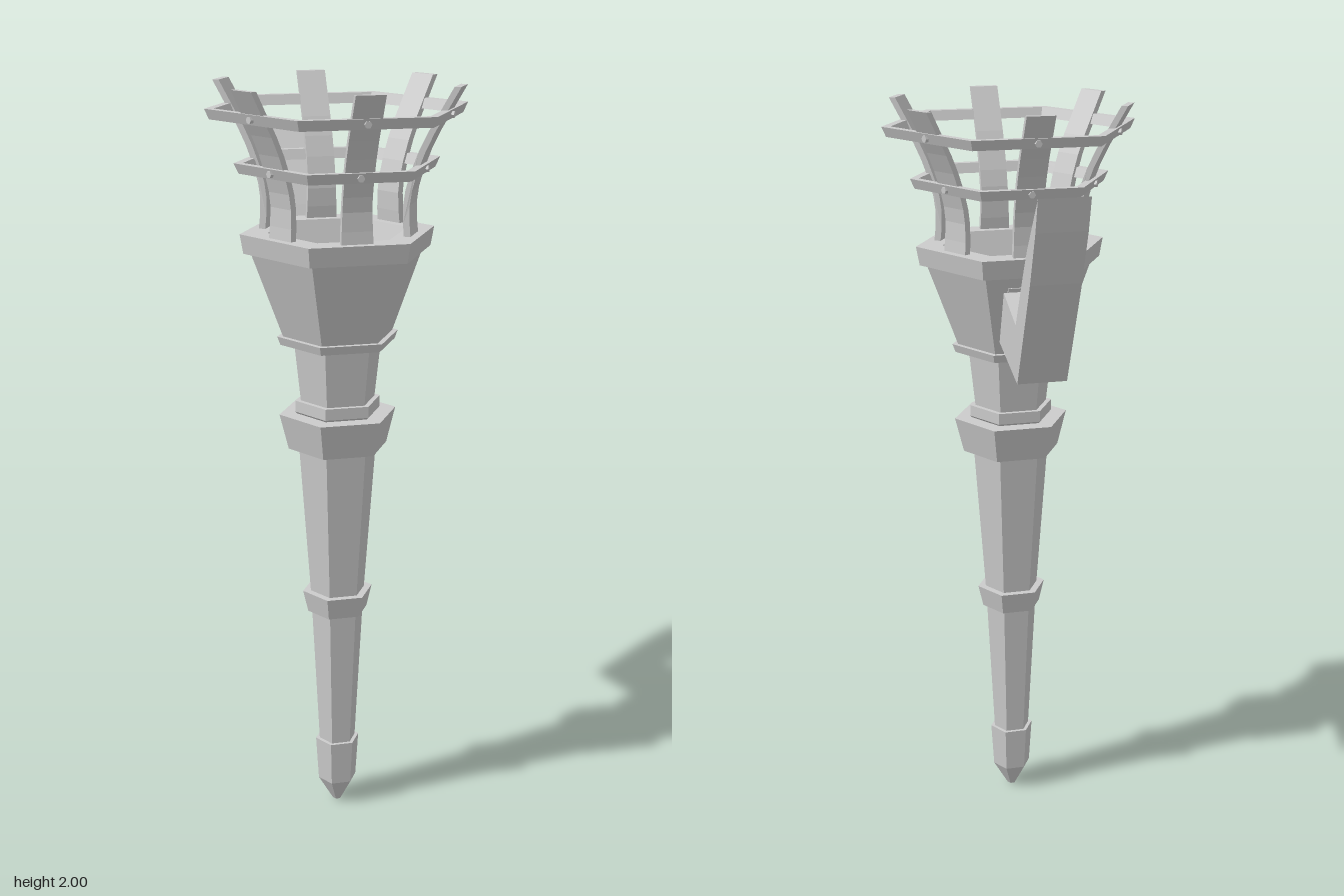
import * as THREE from 'three';

const AXIS_Z = 0.108; // the torch axis sits forward of the wall bracket
const material = new THREE.MeshStandardMaterial({ color: 0xcccccc, flatShading: true });

function addMesh(parent, name, geometry) {
  const mesh = new THREE.Mesh(geometry, material);
  mesh.name = name;
  parent.add(mesh);
  return mesh;
}

// Six-sided turned part with corners on +x and -x; points are [corner radius, y]
function hexLathe(points) {
  return new THREE.LatheGeometry(points.map(p => new THREE.Vector2(...p)), 6, Math.PI / 2);
}

// Extrudes an outline of [x, y] points, centred on z
function slab(points, width) {
  const shape = new THREE.Shape(points.map(p => new THREE.Vector2(...p)));
  return new THREE.ExtrudeGeometry(shape, { depth: width, bevelEnabled: false }).translate(0, 0, -width / 2);
}

// Curved strap: outline in (radius, y), slightly wider at its foot
function strapGeometry() {
  const inner = new THREE.SplineCurve([
    [0.183, 1.62], [0.178, 1.7], [0.19, 1.77], [0.224, 1.86], [0.268, 1.94], [0.302, 2.0],
  ].map(p => new THREE.Vector2(...p))).getPoints(9);
  const outline = inner.map(p => [p.x, Math.min(p.y, 2)]);
  for (const p of [...inner].reverse()) outline.push([p.x + 0.017, Math.min(p.y, 2)]);
  const geometry = slab(outline, 0.074);
  const pos = geometry.attributes.position;
  for (let i = 0; i < pos.count; i++) {
    const foot = Math.max(0, (1.72 - pos.getY(i)) / 0.1);
    pos.setZ(i, pos.getZ(i) * (1 + 0.1 * foot));
  }
  geometry.computeVertexNormals();
  return geometry;
}

export function createModel() {
  const model = new THREE.Group();
  model.name = 'wallTorch';
  const torch = new THREE.Group();
  torch.name = 'torch';
  torch.position.z = AXIS_Z;
  model.add(torch);

  // Handle, from the pointed tip to the neck
  const parts = {
    tip: [[0, 0], [0.012, 0], [0.053, 0.07], [0.061, 0.195], [0, 0.195]],
    lowerShaft: [[0.05, 0.19], [0.071, 0.59]],
    lowerBand: [[0.06, 0.585], [0.082, 0.585], [0.096, 0.645], [0.075, 0.645]],
    upperShaft: [[0.074, 0.64], [0.105, 1.06]],
    gripBand: [[0.1, 1.055], [0.133, 1.055], [0.157, 1.15], [0.108, 1.15]],
    gripCollar: [[0.1, 1.14], [0.114, 1.155], [0.114, 1.185], [0.09, 1.185]],
    neck: [[0.099, 1.18], [0.117, 1.345]],
    cupFlange: [[0.11, 1.338], [0.153, 1.338], [0.161, 1.36], [0.13, 1.36]],
    cup: [[0.144, 1.355], [0.229, 1.585]],
    cupRim: [[0.22, 1.58], [0.246, 1.58], [0.255, 1.63], [0.183, 1.63], [0.148, 1.53], [0, 1.53]],
  };
  for (const [name, points] of Object.entries(parts)) addMesh(torch, name, hexLathe(points));

  // Two hexagonal hoops around the basket
  const hoops = [['lowerHoop', 1.782, 0.255, 0.267], ['upperHoop', 1.917, 0.326, 0.338]];
  for (const [name, y, bottom, top] of hoops) {
    const t = 0.024, h = 0.026;
    addMesh(torch, name, hexLathe([
      [bottom, y], [top, y + h], [top - t, y + h], [bottom - t, y], [bottom, y],
    ]));
  }

  // Six straps, each riveted to both hoops
  const strap = strapGeometry();
  for (let i = 0; i < 6; i++) {
    const arm = new THREE.Group();
    arm.name = 'basketArm';
    arm.rotation.y = Math.PI / 6 + i * Math.PI / 3;
    addMesh(arm, 'strap', strap);
    for (const [r, y] of [[0.228, 1.795], [0.29, 1.93]]) {
      const rivet = addMesh(arm, 'rivet', new THREE.CylinderGeometry(0.009, 0.009, 0.012, 6));
      rivet.rotation.z = Math.PI / 2;
      rivet.position.set(r, y, 0);
    }
    torch.add(arm);
  }

  // Wall bracket, outlined in (distance behind z = 0, y)
  const bracket = new THREE.Group();
  bracket.name = 'wallBracket';
  bracket.rotation.y = Math.PI / 2;
  addMesh(bracket, 'mountPlate', slab([[0.01, 1.39], [0.033, 1.385], [0.085, 1.55], [0.06, 1.55]], 0.105));
  addMesh(bracket, 'bracketArm', slab([
    [0.036, 1.397], [0.228, 1.338], [0.354, 1.62], [0.405, 1.757], [0.427, 1.842],
    [0.325, 1.7], [0.285, 1.63], [0.211, 1.487], [0.085, 1.54],
  ], 0.13));
  model.add(bracket);
  return model;
}
